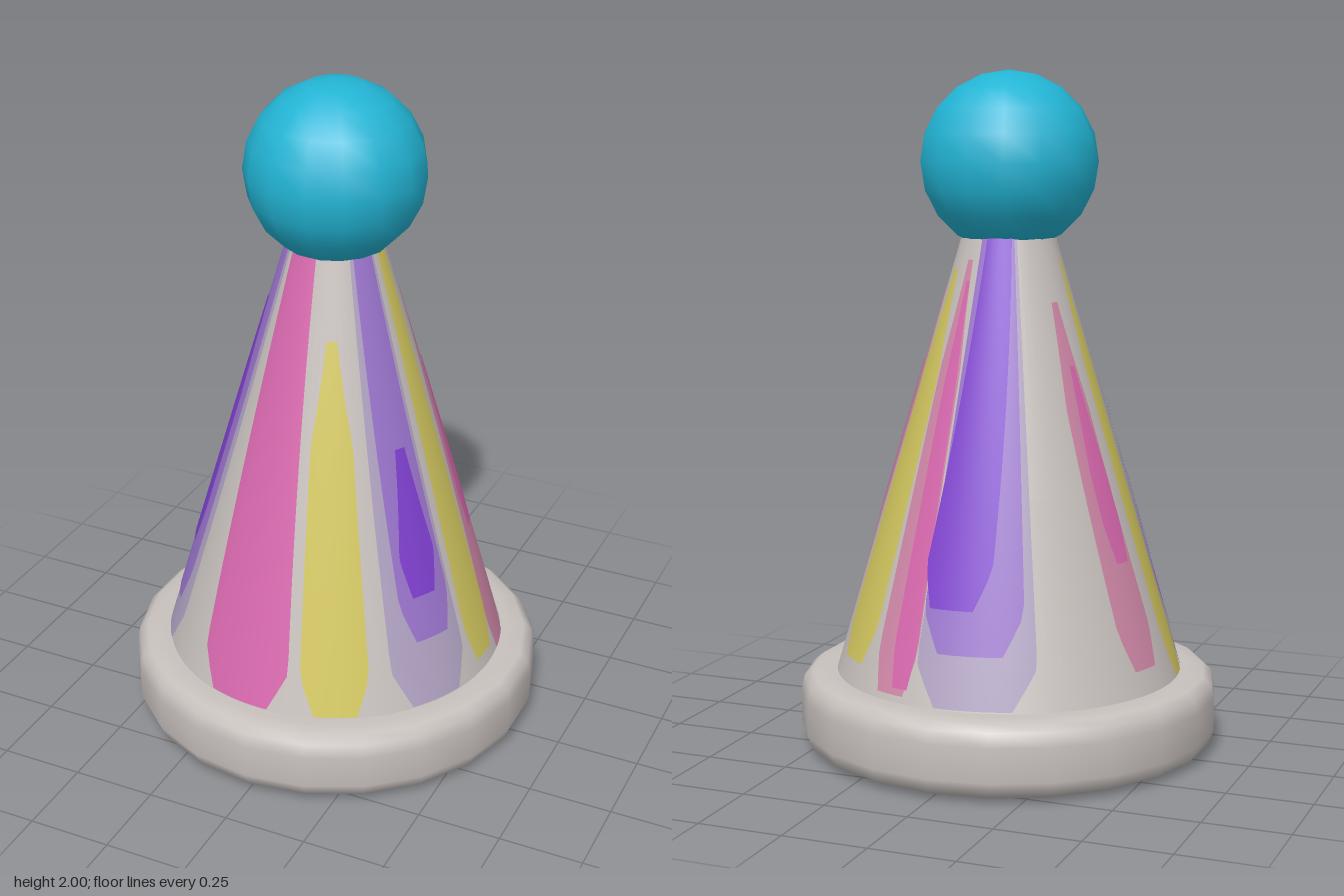
import * as THREE from 'three';

const mat = (name, color) => {
  const m = new THREE.MeshStandardMaterial({ color });
  m.name = name;
  return m;
};

const SLOPE = 0.292;
const NECK = 1.53;
const coneRadius = (y) => 0.515 - SLOPE * (y - 0.23);

// Thin painted stripe lying on the cone. Its centre runs from angle a0 to a1 (degrees from
// the front towards +x), and its width narrows at the ends unless it reaches the neck.
function stripeGeometry(y0, y1, a0, a1, halfWidth, lift) {
  const cols = 12, rows = 24, pos = [], nor = [], idx = [];
  const k = 1 / Math.hypot(1, SLOPE);
  for (let i = 0; i <= rows; i++) {
    const y = THREE.MathUtils.lerp(y0, y1, i / rows);
    const topTaper = y1 < NECK ? 0.35 + (y1 - y) * 2.2 : 1;
    const w = halfWidth * Math.min(1, 0.6 + (y - y0) * 3.5, topTaper);
    const centre = THREE.MathUtils.lerp(a0, a1, i / rows);
    const r = coneRadius(y) + lift;
    for (let j = 0; j <= cols; j++) {
      const t = THREE.MathUtils.degToRad(centre + w * (2 * j / cols - 1));
      pos.push(Math.sin(t) * r, y, Math.cos(t) * r);
      nor.push(Math.sin(t) * k, SLOPE * k, Math.cos(t) * k);
      if (i < rows && j < cols) {
        const a = i * (cols + 1) + j, c = a + cols + 1;
        idx.push(a, a + 1, c + 1, a, c + 1, c);
      }
    }
  }
  const g = new THREE.BufferGeometry();
  g.setAttribute('position', new THREE.Float32BufferAttribute(pos, 3));
  g.setAttribute('normal', new THREE.Float32BufferAttribute(nor, 3));
  g.setIndex(idx);
  return g;
}

const lathe = (points, sides) =>
  new THREE.LatheGeometry(points.map(([x, y]) => new THREE.Vector2(x, y)), sides);

export function createModel() {
  const model = new THREE.Group();
  model.name = 'partyHat';
  const felt = mat('warm grey', 0xc8c1be);
  const turquoise = mat('turquoise', 0x22b4d4);
  const pink = mat('pink', 0xd868ae);
  const palePink = mat('pale pink', 0xd088a8);
  const yellow = mat('yellow', 0xd2c65f);
  const purple = mat('purple', 0x8040d0);
  const lilac = mat('lilac', 0x9a74cc);
  const mauve = mat('mauve', 0xb0a2c2);

  const add = (name, geometry, material) => {
    const mesh = new THREE.Mesh(geometry, material);
    mesh.name = name;
    model.add(mesh);
    return mesh;
  };

  // Padded brim
  add('brim', lathe([[0, 0], [0.5, 0], [0.565, 0.004], [0.607, 0.025], [0.624, 0.065],
    [0.624, 0.165], [0.615, 0.205], [0.59, 0.226], [0.54, 0.23], [0, 0.23]], 22), felt);

  // Cone with a small flared collar under the ball
  add('cone', lathe([[coneRadius(0.2), 0.2], [coneRadius(0.8), 0.8], [coneRadius(1.52), 1.52],
    [0.142, 1.54], [0.165, 1.565], [0.1, 1.58]], 72), felt);

  // Pompom ball
  add('ball', new THREE.SphereGeometry(0.263, 15, 10), turquoise).position.y = 1.738;

  // Painted stripes: each layer is [bottom, top, bottom angle, top angle, half width],
  // stacked from the outer tint to the inner colour
  const stripe = (name, ...layers) => layers.forEach(([material, ...dims], i) =>
    add(`${name}Stripe${i + 1}`, stripeGeometry(...dims, 0.003 * (i + 1)), material));

  stripe('frontPink', [pink, 0.235, NECK, -9, -16, 18]);
  stripe('frontYellow', [yellow, 0.235, 1.3, 25, 22, 12]);
  stripe('frontLeftPurple', [mauve, 0.235, NECK, 61, 57, 16],
    [lilac, 0.42, NECK, 63, 57, 12], [purple, 0.55, 0.98, 62, 62, 9]);
  stripe('leftYellow', [yellow, 0.27, NECK, 88, 90, 9]);
  stripe('leftPink', [palePink, 0.235, 1.38, 104, 118, 9.5], [pink, 0.62, 1.16, 109, 116, 7]);
  stripe('backLeftYellow', [yellow, 0.3, 1.43, 135, 137, 12]);
  stripe('backPink', [palePink, 0.25, 1.46, 160, 158, 9], [pink, 0.27, 1.4, 164, 161, 5]);
  stripe('backPurple', [mauve, 0.235, NECK, 190, 190, 21],
    [lilac, 0.38, NECK, 188, 189, 19], [purple, 0.5, NECK, 180, 191, 14]);
  stripe('rightPink', [palePink, 0.3, 1.34, 254, 244, 9.5], [pink, 0.6, 1.16, 254, 248, 6]);
  stripe('rightYellow', [yellow, 0.235, 1.46, 279, 269, 7.5]);
  stripe('rightPurple', [mauve, 0.235, NECK, 297, 305, 15],
    [lilac, 0.36, NECK, 296, 305, 12], [purple, 0.55, 1.36, 295, 300, 8]);
  return model;
}
